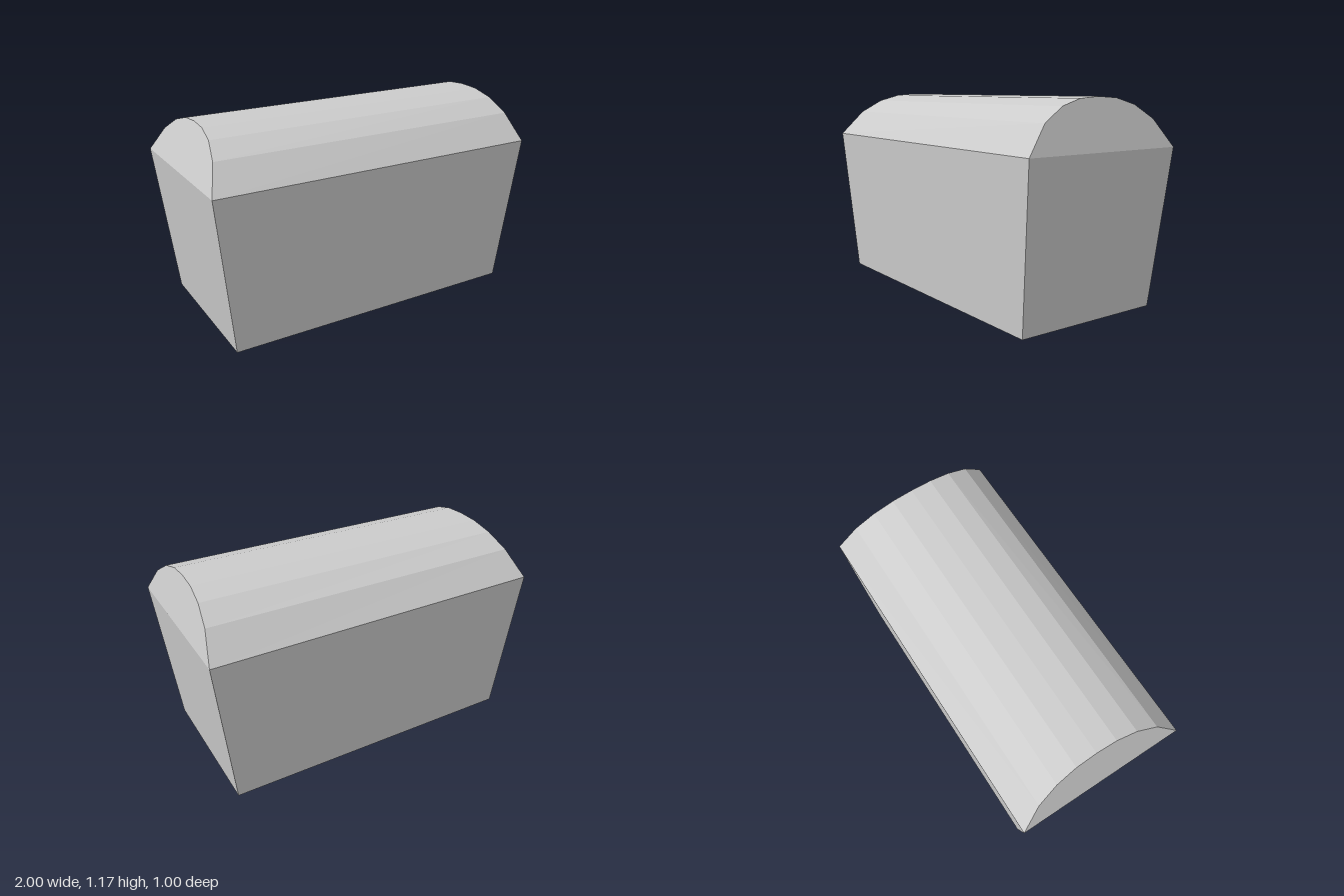
import * as THREE from 'three';

const RIM = 0.9;
const material = new THREE.MeshStandardMaterial({ color: 0xcccccc, flatShading: true });

// Applies rule(v) to every vertex
function reshape(geometry, rule) {
  const pos = geometry.attributes.position;
  const v = new THREE.Vector3();
  for (let i = 0; i < pos.count; i++) {
    v.fromBufferAttribute(pos, i);
    rule(v);
    pos.setXYZ(i, v.x, v.y, v.z);
  }
  geometry.computeVertexNormals();
  return geometry;
}

function addPart(group, name, geometry) {
  const mesh = new THREE.Mesh(geometry, material);
  mesh.name = name;
  group.add(mesh);
}

export function createModel() {
  const group = new THREE.Group();
  group.name = 'chest';

  // Box narrowing by a tenth towards the floor
  const box = new THREE.BoxGeometry(2, RIM, 1).translate(0, RIM / 2, 0);
  addPart(group, 'chestBody', reshape(box, (v) => {
    const taper = 0.9 + 0.1 * (v.y / RIM);
    v.x *= taper;
    v.z *= taper;
  }));

  // Faceted barrel lid, running along x
  const half = [[0.5, 0], [0.375, 0.15], [0.25, 0.225], [0.125, 0.26]];
  const arch = [...half, [0, 0.268], ...half.map(([z, y]) => [-z, y]).reverse()];
  const profile = new THREE.Shape(arch.map(([z, y]) => new THREE.Vector2(z, y)));
  const lid = new THREE.ExtrudeGeometry(profile, { depth: 2, bevelEnabled: false })
    .translate(0, 0, -1)
    .rotateY(Math.PI / 2);
  // Ends lean inwards, more on the right, and the crown rises slightly to the left
  addPart(group, 'lid', reshape(lid, (v) => {
    const rise = v.y / 0.268;
    v.x += v.x > 0 ? -0.07 * rise : 0.11 * rise;
    v.y = RIM + v.y * (1 + 0.02 * v.x);
  }));

  return group;
}
